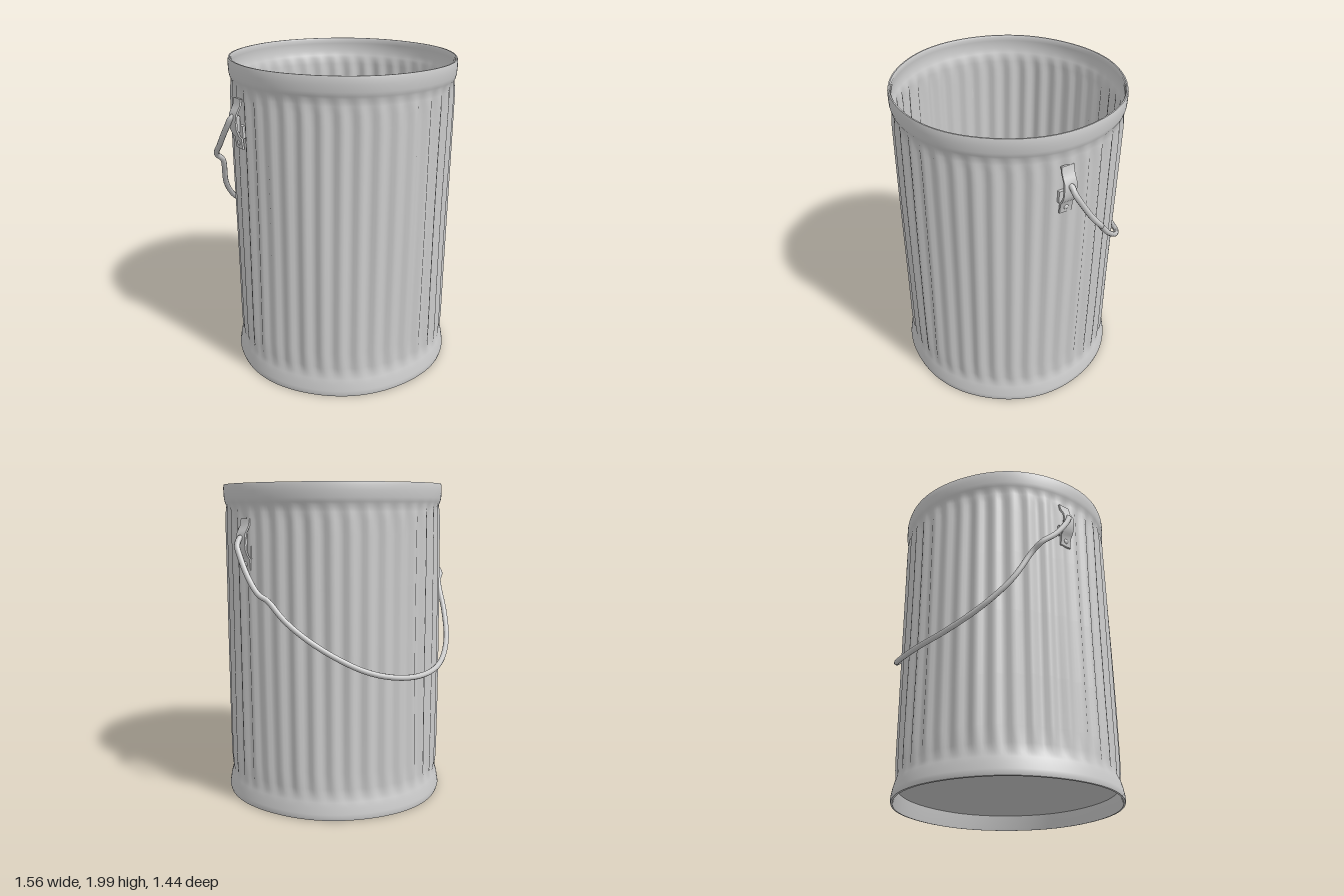
import * as THREE from 'three';
import { toCreasedNormals } from 'three/addons/utils/BufferGeometryUtils.js';

const material = new THREE.MeshStandardMaterial({ color: 0xcccccc, side: THREE.DoubleSide });
const FLUTES = 40;

function addMesh(parent, name, geometry) {
  const mesh = new THREE.Mesh(geometry, material);
  mesh.name = name;
  parent.add(mesh);
  return mesh;
}

// Fluting fades out into the plain bands at the top and bottom
const fluteDepth = (y) =>
  0.011 * THREE.MathUtils.smoothstep(y, 0.12, 0.24) * (1 - THREE.MathUtils.smoothstep(y, 1.78, 1.89));

// Closed shell: recessed underside, foot band, wall, rolled rim, inside, floor
function canGeometry() {
  const outer = [0.15, 0.2, 0.3, 0.6, 1.0, 1.4, 1.7, 1.78, 1.83, 1.87];
  const inner = [1.86, 1.82, 1.77, 1.7, 1.4, 1.0, 0.6, 0.3, 0.2, 0.13];
  const points = [
    [0, 0.11], [0.4, 0.11], [0.672, 0.11], [0.688, 0.03], [0.693, 0.012], [0.704, 0.014],
    [0.708, 0.03], [0.705, 0.05], [0.698, 0.09], [0.69, 0.12],
    ...outer.map((y) => [0.681, y]),
    [0.689, 1.885], [0.695, 1.91], [0.697, 1.95], [0.697, 1.98], [0.693, 1.997], [0.685, 1.997],
    [0.679, 1.985], [0.684, 1.96], [0.684, 1.91], [0.676, 1.88],
    ...inner.map((y) => [0.669, y]),
    [0.4, 0.13], [0, 0.13],
  ].map(([r, y]) => new THREE.Vector2(r, y));
  const geometry = new THREE.LatheGeometry(points, FLUTES * 6);
  const pos = geometry.attributes.position;
  for (let i = 0; i < pos.count; i++) {
    const x = pos.getX(i), y = pos.getY(i), z = pos.getZ(i);
    const r = Math.hypot(x, z), a = Math.atan2(z, x);
    let d = 0;
    if (r > 0.6) {
      // flutes, with a few shallow dents worn into the wall
      d = fluteDepth(y) * (Math.cos(a * FLUTES) - 0.1)
        + 0.003 * Math.sin(3 * a + 2 * y) + 0.002 * Math.sin(7 * a - 3 * y);
    }
    const k = r > 0 ? (r + d) / r : 1;
    // the can leans very slightly
    pos.setXYZ(i, x * k - 0.027 + 0.009 * y, y - 0.005 * x * (y / 2), z * k + 0.004);
  }
  return toCreasedNormals(geometry, 0.8);
}

// Strap riveted to the wall with a bulge that holds the wire
function makeEar(name, x, y, z, side) {
  const ear = new THREE.Group();
  ear.name = name;
  const line = [
    [0, 0.14], [0.008, 0.1], [0.022, 0.075], [0.036, 0.05], [0.04, 0.01], [0.036, -0.04],
    [0.022, -0.075], [0.006, -0.095], [0, -0.16],
  ];
  const shape = new THREE.Shape([
    ...line.map(([px, py]) => new THREE.Vector2(px + 0.012, py)),
    ...line.slice().reverse().map(([px, py]) => new THREE.Vector2(px, py)),
  ]);
  const strap = new THREE.ExtrudeGeometry(shape, { depth: 0.08, bevelEnabled: false });
  strap.translate(0, 0, -0.04);
  addMesh(ear, 'strap', toCreasedNormals(strap, 0.7));

  // backing plate and rivet
  addMesh(ear, 'backingPlate', new THREE.BoxGeometry(0.02, 0.075, 0.092)).position.set(0, -0.055, 0);
  const rivet = addMesh(ear, 'rivet', new THREE.SphereGeometry(0.017, 12, 8));
  rivet.scale.x = 0.6;
  rivet.position.set(0.012, -0.125, 0);

  ear.position.set(x, y, z);
  ear.rotation.y = side > 0 ? 0 : Math.PI;
  return ear;
}

// Bent wire handle hanging down behind the can
function handleGeometry() {
  const path = [
    [0.688, 1.58, 0.03], [0.69, 1.67, 0.03], [0.72, 1.68, 0.028], [0.75, 1.64, 0.02],
    [0.76, 1.57, -0.02], [0.763, 1.45, -0.1], [0.752, 1.365, -0.172], [0.712, 1.33, -0.2],
    [0.66, 1.21, -0.3], [0.55, 1.07, -0.45], [0.35, 0.93, -0.612], [0.15, 0.87, -0.69],
    [-0.08, 0.855, -0.713], [-0.3, 0.89, -0.668], [-0.5, 1.0, -0.565], [-0.625, 1.16, -0.45],
    [-0.69, 1.36, -0.345], [-0.742, 1.41, -0.318], [-0.764, 1.5, -0.22], [-0.76, 1.63, -0.12],
    [-0.745, 1.69, -0.085], [-0.716, 1.7, -0.08], [-0.712, 1.6, -0.08],
  ].map((p) => new THREE.Vector3(...p));
  return new THREE.TubeGeometry(new THREE.CatmullRomCurve3(path, false, 'centripetal'), 180, 0.017, 10);
}

export function createModel() {
  const model = new THREE.Group();
  model.name = 'metalCan';
  addMesh(model, 'flutedCan', canGeometry());
  model.add(makeEar('leftEar', 0.668, 1.65, 0.03, 1));
  model.add(makeEar('rightEar', -0.692, 1.66, -0.08, -1));
  addMesh(model, 'wireHandle', handleGeometry());
  return model;
}
